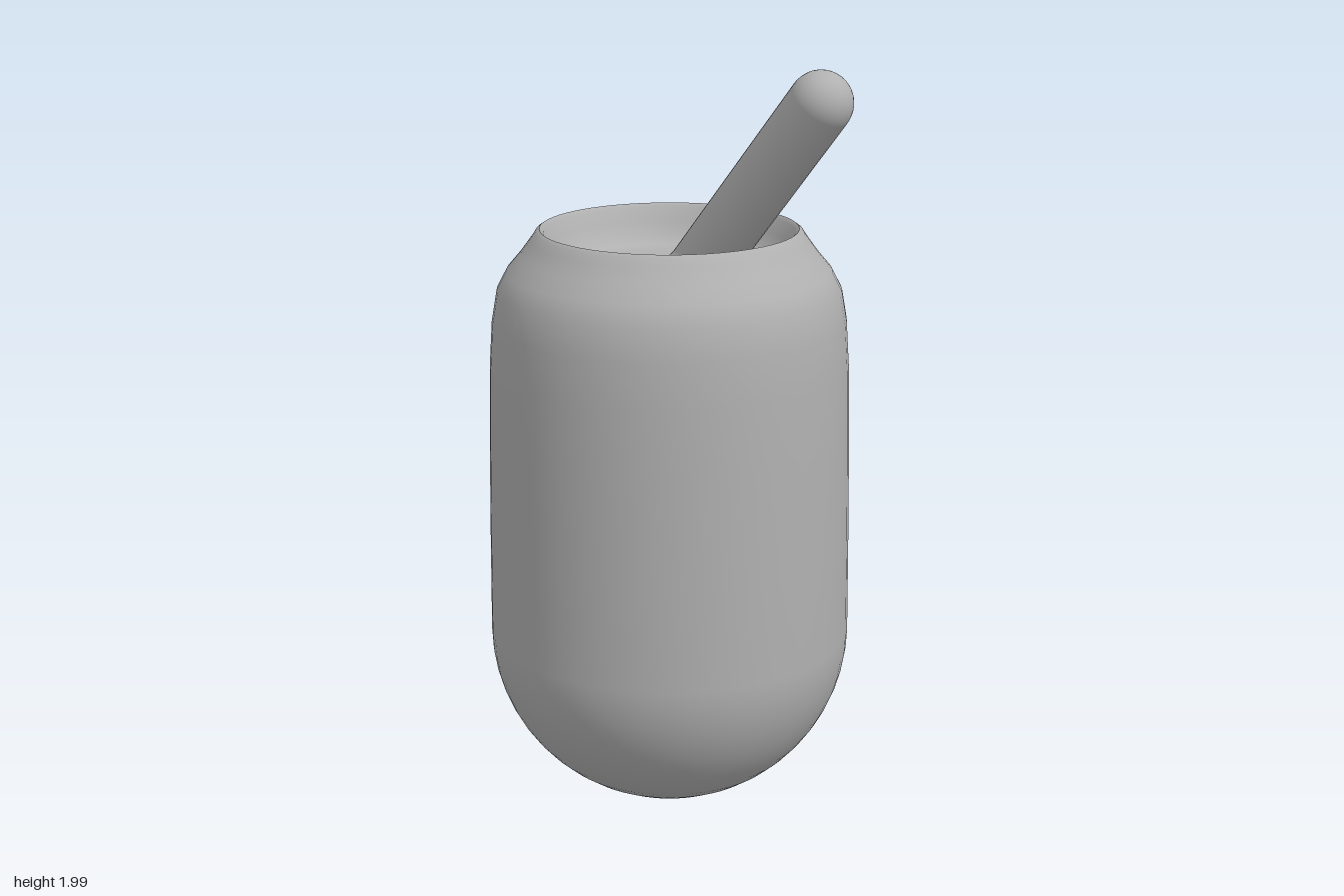
import * as THREE from 'three';

export function createModel() {
  const group = new THREE.Group();
  const grey = new THREE.MeshStandardMaterial({ color: 0xb0b0b0 });
  grey.name = 'grey';
  const add = (name, geometry) => {
    const mesh = new THREE.Mesh(geometry, grey);
    mesh.name = name;
    group.add(mesh);
    return mesh;
  };
  const v2 = ([x, y]) => new THREE.Vector2(x, y);

  // Outer shell: round bottom, slightly tapering wall, sloped shoulder
  const shell = [];
  for (let i = 0; i <= 14; i++) {
    const a = (i / 14) * Math.PI / 2;
    shell.push([0.478 * Math.sin(a), 0.475 - 0.47 * Math.cos(a)]);
  }
  shell.push([0.475, 0.75], [0.471, 1.0], [0.466, 1.2], [0.458, 1.32], [0.444, 1.4],
    [0.418, 1.45], [0.384, 1.49], [0.355, 1.53], [0.342, 1.55], [0.332, 1.557]);
  add('cupShell', new THREE.LatheGeometry(shell.map(v2), 64)).position.x = -0.022;

  // Recessed inside of the opening, down to the shallow floor
  const inside = [[0.332, 1.557], [0.322, 1.547], [0.306, 1.51], [0.29, 1.477],
    [0.268, 1.456], [0.235, 1.448], [0.15, 1.446], [0, 1.446]];
  add('cupInside', new THREE.LatheGeometry(inside.map(v2), 64)).position.x = -0.022;

  // Leaning straw with rounded tip
  const base = new THREE.Vector3(0.05, 1.435, 0.04);
  const tip = new THREE.Vector3(0.418, 1.92, 0.194);
  const dir = tip.clone().sub(base);
  const straw = add('straw', new THREE.CapsuleGeometry(0.079, dir.length(), 10, 28));
  straw.position.copy(base).add(tip).multiplyScalar(0.5);
  straw.quaternion.setFromUnitVectors(new THREE.Vector3(0, 1, 0), dir.clone().normalize());

  // Soft collar where the straw meets the floor, sheared to follow the lean
  const tan = Math.hypot(dir.x, dir.z) / dir.y;
  const collar = new THREE.LatheGeometry(
    [[0.125, 0.01], [0.103, 0.018], [0.089, 0.034], [0.082, 0.055], [0.078, 0.085]].map(v2), 32);
  const p = collar.attributes.position;
  for (let i = 0; i < p.count; i++) {
    p.setX(i, p.getX(i) * Math.hypot(1, tan) + p.getY(i) * tan);
  }
  collar.rotateY(-Math.atan2(dir.z, dir.x));
  collar.computeVertexNormals();
  add('strawCollar', collar).position.copy(base);

  return group;
}
